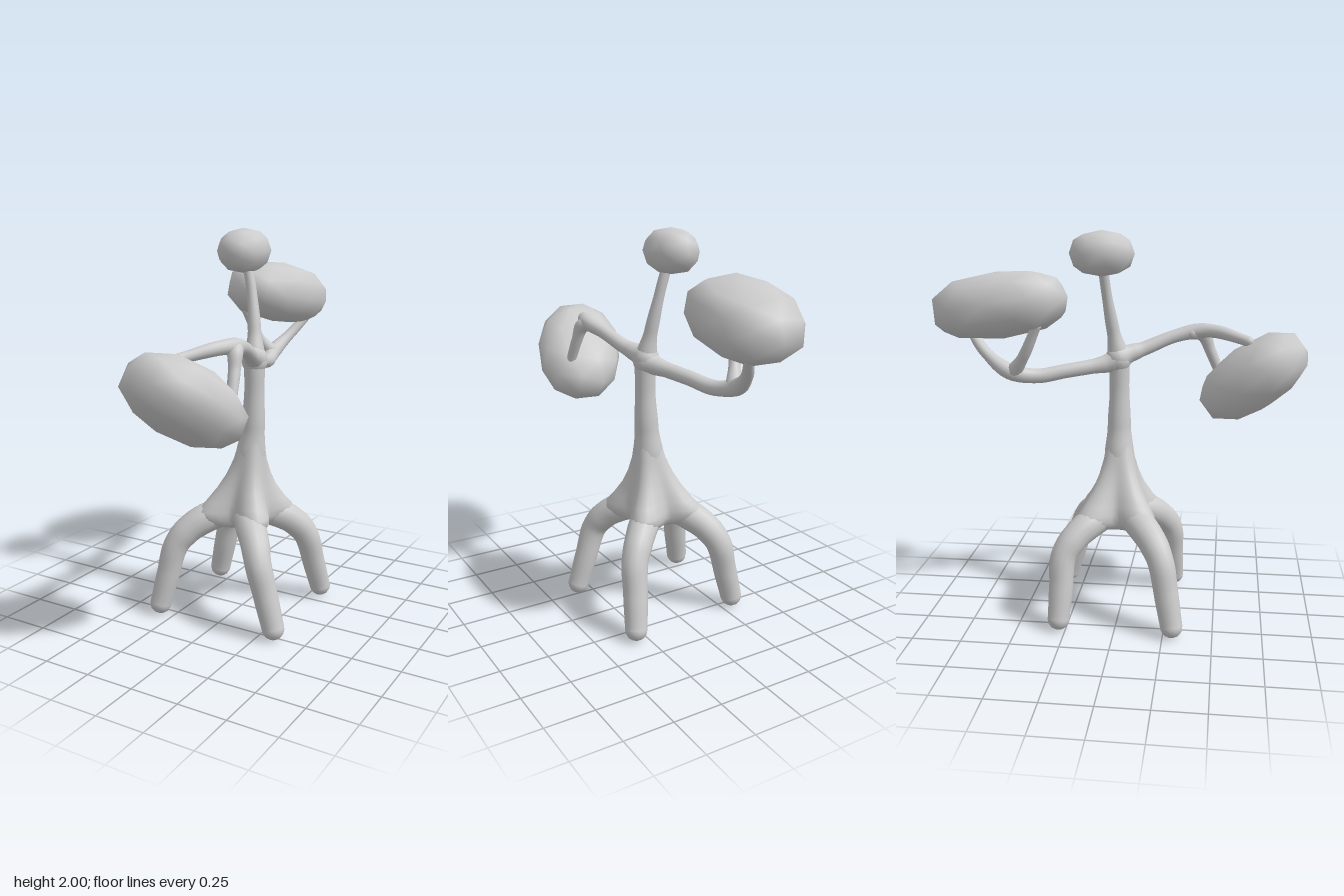
import * as THREE from 'three';
import { mergeVertices, mergeGeometries } from 'three/addons/utils/BufferGeometryUtils.js';

const material = new THREE.MeshStandardMaterial({ color: 0xcccccc });

// Smooth normals over welded vertices
function smooth(geometry) {
  geometry.deleteAttribute('uv');
  geometry.deleteAttribute('normal');
  const welded = mergeVertices(geometry, 1e-4);
  welded.computeVertexNormals();
  return welded;
}

// Tapering limb through [x, y, z, radius] stations, rounded at both ends
function limb(name, stations, segments = 28, sides = 14) {
  const curve = new THREE.CatmullRomCurve3(stations.map(([x, y, z]) => new THREE.Vector3(x, y, z)));
  const tube = new THREE.TubeGeometry(curve, segments, 1, sides);
  const position = tube.attributes.position;
  const v = new THREE.Vector3();
  for (let i = 0; i <= segments; i++) {
    const center = curve.getPointAt(i / segments);
    const s = curve.getUtoTmapping(i / segments) * (stations.length - 1);
    const k = Math.min(Math.floor(s), stations.length - 2);
    const radius = THREE.MathUtils.lerp(stations[k][3], stations[k + 1][3], THREE.MathUtils.smoothstep(s - k, 0, 1));
    for (let j = 0; j <= sides; j++) {
      const n = i * (sides + 1) + j;
      v.fromBufferAttribute(position, n).sub(center).multiplyScalar(radius).add(center);
      position.setXYZ(n, v.x, v.y, v.z);
    }
  }
  const caps = [stations[0], stations[stations.length - 1]].map(([x, y, z, r]) =>
    smooth(new THREE.SphereGeometry(r, sides, 8).translate(x, y, z)));
  const mesh = new THREE.Mesh(mergeGeometries([smooth(tube), ...caps]), material);
  mesh.name = name;
  return mesh;
}

// Flared trunk foot: a lathe whose radius swells into four lobes over the roots
function lobedFlare(name) {
  // [height, radius between the roots, radius over the roots, x of the axis]
  const rows = [
    [0.468, 0.001, 0.001, 0.01], [0.469, 0.06, 0.06, 0.01], [0.476, 0.1, 0.14, 0.01], [0.495, 0.127, 0.22, 0.01],
    [0.53, 0.139, 0.265, 0.01], [0.565, 0.138, 0.258, 0.012], [0.61, 0.132, 0.215, 0.016],
    [0.68, 0.115, 0.16, 0.022], [0.75, 0.097, 0.12, 0.031], [0.83, 0.08, 0.088, 0.04], [0.93, 0.064, 0.065, 0.05],
  ];
  const sides = 48;
  const geometry = new THREE.LatheGeometry(rows.map(([y, r]) => new THREE.Vector2(r, y)), sides);
  const position = geometry.attributes.position;
  for (let i = 0; i <= sides; i++) {
    const angle = (i / sides) * Math.PI * 2;
    const lobe = Math.sin(2 * angle) ** 2;
    rows.forEach(([y, valley, ridge, x], j) => {
      const r = THREE.MathUtils.lerp(valley, ridge, lobe);
      position.setXYZ(i * rows.length + j, x + r * Math.sin(angle), y, r * Math.cos(angle) - 0.012);
    });
  }
  const mesh = new THREE.Mesh(smooth(geometry), material);
  mesh.name = name;
  return mesh;
}

// Coarse foliage blob: a slightly boxy icosphere stretched along its own axes
function foliage(name, center, longAxis, sideAxis, radii, power) {
  const geometry = new THREE.IcosahedronGeometry(1, 1);
  const position = geometry.attributes.position;
  const boxy = (c) => Math.sign(c) * Math.abs(c) ** power;
  for (let i = 0; i < position.count; i++) {
    position.setXYZ(i, boxy(position.getX(i)), boxy(position.getY(i)), boxy(position.getZ(i)));
  }
  const z = new THREE.Vector3(...longAxis).normalize();
  const y = new THREE.Vector3().crossVectors(z, new THREE.Vector3(...sideAxis)).normalize();
  const x = new THREE.Vector3().crossVectors(y, z);
  geometry.scale(...radii);
  geometry.applyMatrix4(new THREE.Matrix4().makeBasis(x, y, z));
  const mesh = new THREE.Mesh(smooth(geometry), material);
  mesh.position.set(...center);
  mesh.name = name;
  return mesh;
}

export function createModel() {
  const model = new THREE.Group();
  model.name = 'tree';

  // Trunk with its flared foot, leaning stem and the crown on top
  model.add(lobedFlare('trunkFlare'));
  model.add(limb('trunk', [
    [0.03, 0.75, -0.013, 0.08], [0.042, 0.85, -0.013, 0.077],
    [0.055, 1.0, -0.015, 0.061], [0.062, 1.2, -0.015, 0.051], [0.06, 1.36, -0.02, 0.054],
    [0.045, 1.5, -0.045, 0.034], [0.01, 1.7, -0.075, 0.026], [-0.03, 1.86, -0.09, 0.025],
  ], 60, 18));
  model.add(foliage('topFoliage', [-0.04, 1.89, -0.09], [0, 0, 1], [1, 0, 0], [0.122, 0.112, 0.163], 0.9));

  // Four spreading roots that stand on the ground
  const roots = [
    ['frontRightRoot', -0.33, 0.295, -0.268, 0.235],
    ['frontLeftRoot', 0.33, 0.265, 0.235, 0.25],
    ['backRightRoot', -0.31, -0.285, -0.235, -0.268],
    ['backLeftRoot', 0.305, -0.335, 0.26, -0.245],
  ];
  for (const [name, footX, footZ, kneeX, kneeZ] of roots) {
    model.add(limb(name, [
      [kneeX * 0.3, 0.545, kneeZ * 0.3, 0.075],
      [kneeX * 0.57, 0.512, kneeZ * 0.57, 0.078],
      [kneeX * 0.83, 0.452, kneeZ * 0.83, 0.073],
      [kneeX, 0.375, kneeZ, 0.067],
      [(kneeX + footX) / 2, 0.22, (kneeZ + footZ) / 2, 0.062],
      [footX, 0.06, footZ, 0.057],
    ]));
  }

  // Front branch, forking over its foliage
  model.add(limb('frontBranch', [
    [0.06, 1.36, -0.02, 0.066], [0.085, 1.38, 0.045, 0.046], [0.11, 1.4, 0.11, 0.037], [0.155, 1.455, 0.25, 0.034],
    [0.18, 1.485, 0.38, 0.04], [0.15, 1.487, 0.48, 0.034], [0.05, 1.455, 0.64, 0.026],
  ], 36));
  model.add(limb('frontTwig', [
    [0.17, 1.475, 0.35, 0.034], [0.197, 1.467, 0.405, 0.038], [0.215, 1.38, 0.445, 0.029], [0.23, 1.25, 0.5, 0.026],
  ]));
  model.add(foliage('frontFoliage', [0.092, 1.27, 0.669],
    [-0.38, 0.57, 0.73], [0.92, 0.2, 0.33], [0.232, 0.168, 0.322], 0.9));

  // Back branch, forking under its foliage
  model.add(limb('backBranch', [
    [0.06, 1.345, -0.02, 0.066], [0.035, 1.328, -0.085, 0.046], [0.01, 1.318, -0.15, 0.038],
    [-0.035, 1.3, -0.28, 0.037], [-0.078, 1.28, -0.42, 0.038],
    [-0.115, 1.308, -0.55, 0.042], [-0.075, 1.395, -0.68, 0.029], [0.01, 1.53, -0.8, 0.022],
  ], 36));
  model.add(limb('backTwig', [
    [-0.115, 1.305, -0.53, 0.04], [-0.16, 1.395, -0.465, 0.028], [-0.2, 1.55, -0.39, 0.024],
  ]));
  model.add(foliage('backFoliage', [-0.108, 1.638, -0.592],
    [-0.1, 0.15, 1], [1, -0.15, 0.1], [0.22, 0.165, 0.355], 0.83));

  return model;
}
